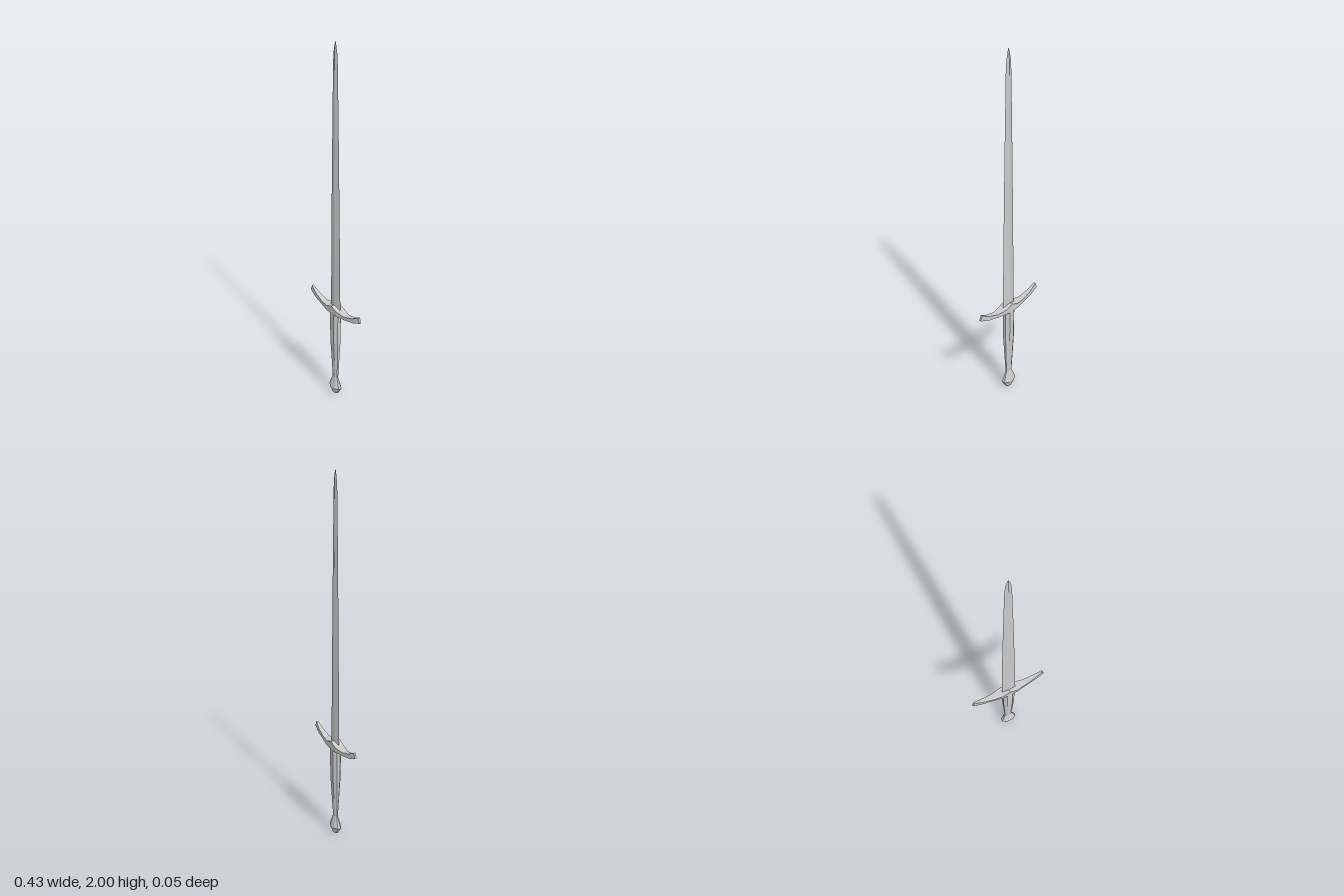
import * as THREE from 'three';

const steel = new THREE.MeshStandardMaterial({ color: 0xcccccc, flatShading: true });

// Skin a list of equal-length rings (counter-clockwise seen from the far end) and cap both ends.
function loft(name, rings) {
  const n = rings[0].length;
  const pos = rings.flat(2);
  const index = [];
  for (let i = 0; i < rings.length - 1; i++) {
    for (let j = 0; j < n; j++) {
      const a = i * n + j, b = i * n + (j + 1) % n;
      index.push(a, b, b + n, a, b + n, a + n);
    }
  }
  const last = (rings.length - 1) * n;
  for (let j = 1; j < n - 1; j++) {
    index.push(0, j + 1, j, last, last + j, last + j + 1);
  }
  const geometry = new THREE.BufferGeometry();
  geometry.setAttribute('position', new THREE.Float32BufferAttribute(pos, 3));
  geometry.setIndex(index);
  const flat = geometry.toNonIndexed();
  flat.computeVertexNormals();
  const mesh = new THREE.Mesh(flat, steel);
  mesh.name = name;
  return mesh;
}

// Diamond section with its ridge at x = 0
const diamond = ([y, left, right, d]) => [[right, y, 0], [0, y, -d], [-left, y, 0], [0, y, d]];

// Eight-sided section, half width w and half depth d
const octagon = ([y, w, d]) => [
  [w, y, d * 0.4], [w, y, -d * 0.4], [w * 0.45, y, -d], [-w * 0.45, y, -d],
  [-w, y, -d * 0.4], [-w, y, d * 0.4], [-w * 0.45, y, d], [w * 0.45, y, d],
];

export function createModel() {
  const sword = new THREE.Group();
  sword.name = 'sword';

  // Blade: y, left half width, right half width, half depth
  sword.add(loft('blade', [
    [0.52, 0.038, 0.043, 0.009],
    [1.0, 0.034, 0.036, 0.008],
    [1.5, 0.026, 0.027, 0.007],
    [1.88, 0.019, 0.019, 0.006],
    [1.94, 0.015, 0.015, 0.005],
    [1.98, 0.007, 0.007, 0.003],
    [2.0, 0.001, 0.001, 0.0005],
  ].map(diamond)));

  // Grip: y, half width, half depth
  sword.add(loft('grip', [
    [0.1, 0.02, 0.008],
    [0.2, 0.025, 0.015],
    [0.33, 0.032, 0.022],
    [0.52, 0.034, 0.025],
  ].map(octagon)));

  // Pommel
  sword.add(loft('pommel', [
    [0, 0.02, 0.011],
    [0.012, 0.027, 0.015],
    [0.038, 0.042, 0.023],
    [0.1, 0.02, 0.008],
  ].map(octagon)));

  // Crossguard, one half: bottom x, bottom y, top x, top y, half depth
  const half = [
    [0.213, 0.545, 0.202, 0.575, 0.005],
    [0.165, 0.526, 0.158, 0.549, 0.011],
    [0.1, 0.513, 0.098, 0.531, 0.017],
    [0.042, 0.508, 0.042, 0.536, 0.026],
  ];
  const mirrored = half.map(([bx, by, tx, ty, d]) => [-bx, by, -tx, ty, d]);
  const stations = [...mirrored, [0, 0.506, 0, 0.553, 0.026], ...half.reverse()];
  sword.add(loft('crossguard', stations.map(([bx, by, tx, ty, d]) => [
    [bx, by, -d], [tx, ty, -d], [tx, ty, d], [bx, by, d],
  ])));

  return sword;
}
